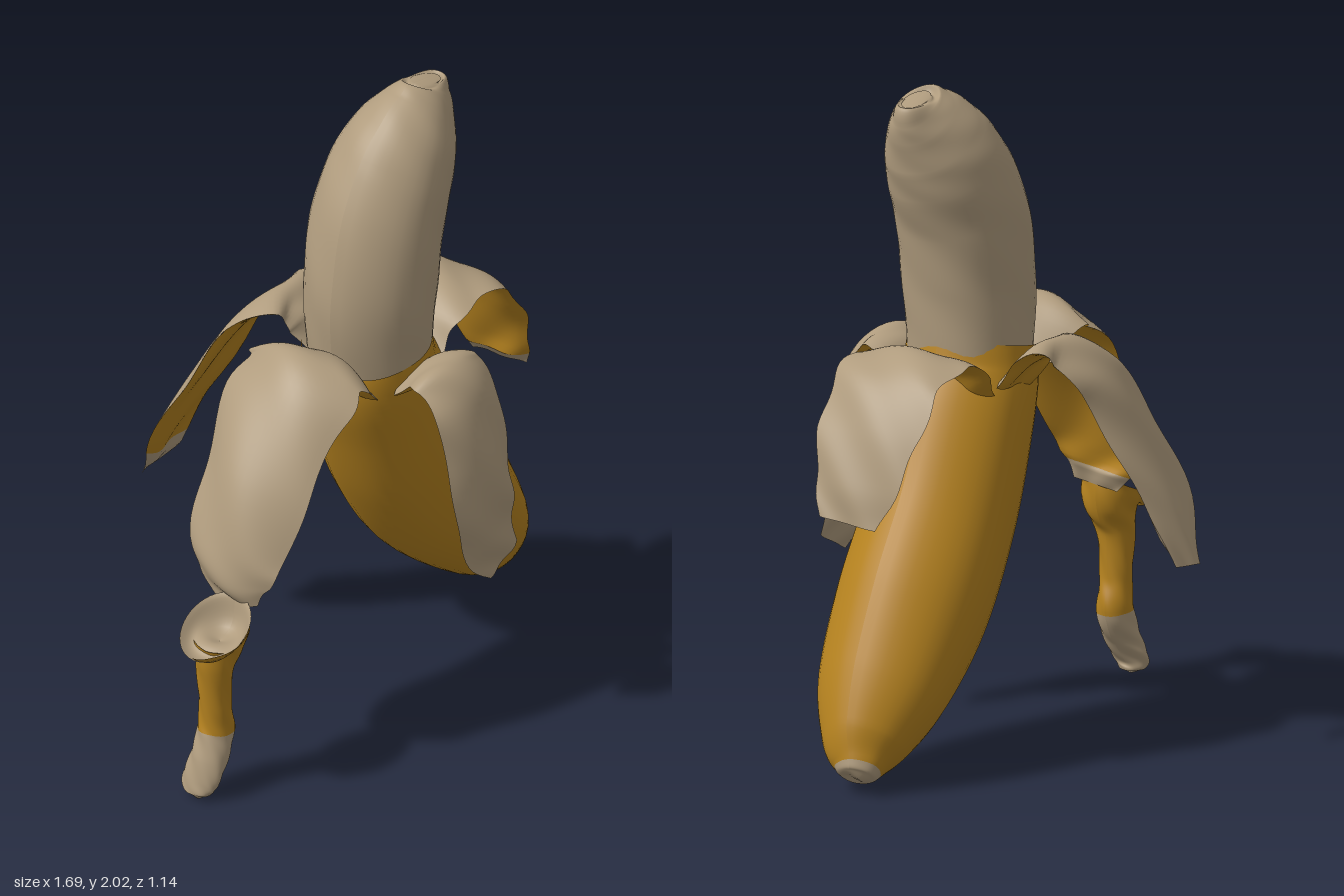
import * as THREE from 'three';

const pale = new THREE.MeshStandardMaterial({ color: 0xb09c7e });
pale.name = 'pale flesh';
const yellow = new THREE.MeshStandardMaterial({ color: 0xb5821f });
yellow.name = 'yellow skin';

const Z = new THREE.Vector3(0, 0, 1);
const spline = (pts) => new THREE.CatmullRomCurve3(pts, false, 'catmullrom', 0.5);

// Surface from a grid of points; flip turns the faces round
function gridMesh(name, rows, cols, point, material, flip = false) {
  const pos = [], idx = [];
  for (let i = 0; i <= rows; i++) {
    for (let j = 0; j <= cols; j++) {
      const p = point(i / rows, j / cols);
      pos.push(p.x, p.y, p.z);
    }
  }
  for (let i = 0; i < rows; i++) {
    for (let j = 0; j < cols; j++) {
      const a = i * (cols + 1) + j, b = a + 1, c = a + cols + 1, d = c + 1;
      if (flip) idx.push(a, c, b, b, c, d);
      else idx.push(a, b, c, b, d, c);
    }
  }
  const g = new THREE.BufferGeometry();
  g.setAttribute('position', new THREE.Float32BufferAttribute(pos, 3));
  g.setIndex(idx);
  g.computeVertexNormals();
  const mesh = new THREE.Mesh(g, material);
  mesh.name = name;
  return mesh;
}

// Tube through stations [x, y, z, radius across, radius in z]
function tube(name, stations, material, { from = 0, to = 1, ridge = 0, bump = 0, flip = false, rows = 48 } = {}) {
  const path = spline(stations.map((s) => new THREE.Vector3(s[0], s[1], s[2])));
  const radii = spline(stations.map((s) => new THREE.Vector3(s[3], s[4], 0)));
  return gridMesh(name, rows, 40, (v, u) => {
    const t = from + (to - from) * v, a = u * Math.PI * 2;
    const T = path.getTangent(t), r = radii.getPoint(t);
    const A = new THREE.Vector3().crossVectors(Z, T).normalize();
    const B = new THREE.Vector3().crossVectors(T, A);
    const k = 1 + ridge * Math.cos(5 * a) + bump * Math.sin(3 * a + t * 17) * Math.sin(t * 31 + 2 * a);
    return path.getPoint(t)
      .addScaledVector(A, Math.max(0, r.x) * k * Math.cos(a))
      .addScaledVector(B, Math.max(0, r.y) * k * Math.sin(a));
  }, material, flip);
}

// Peeled strip through stations [x, y, z, half width]: pale face above, skin below
function flap(name, stations, side, droop, skinEnd) {
  const path = spline(stations.map((s) => new THREE.Vector3(s[0], s[1], s[2])));
  const widths = spline(stations.map((s) => new THREE.Vector3(s[3], 0, 0)));
  const S0 = new THREE.Vector3(...side);
  const point = (t, u, under) => {
    const T = path.getTangent(t);
    const S = S0.clone().addScaledVector(T, -T.dot(S0)).normalize();
    const N = new THREE.Vector3().crossVectors(S, T);
    const e = u * 2 - 1;
    const w = widths.getPoint(t).x * (1 + 0.04 * Math.sin(t * 27 + e * 2));
    const thick = 0.036 * (1 - e ** 4) * Math.min(1, (1 - t) * 14);
    const lift = -droop * e * e * Math.sin(Math.PI * Math.min(1, t * 0.75 + 0.2))
      + 0.005 * Math.sin(t * 23 + e * 4);
    return path.getPoint(t).addScaledVector(S, w * e).addScaledVector(N, lift - (under ? thick : 0));
  };
  const group = new THREE.Group();
  group.name = name;
  group.add(
    gridMesh(name + 'Inside', 44, 16, (t, u) => point(t, u, false), pale),
    gridMesh(name + 'Skin', 36, 16, (t, u) => point(t * skinEnd, u, true), yellow, true),
    gridMesh(name + 'Tip', 8, 16, (t, u) => point(skinEnd + t * (1 - skinEnd), u, true), pale, true),
  );
  return group;
}

export function createModel() {
  const model = new THREE.Group();
  model.name = 'peeledBanana';

  // Exposed fruit, bent toward +x at the top
  model.add(tube('fruit', [
    [0.06, 1.05, 0.11, 0.17, 0.18],
    [0.045, 1.2, 0.115, 0.185, 0.19],
    [0.04, 1.4, 0.125, 0.2, 0.2],
    [0.075, 1.6, 0.128, 0.198, 0.2],
    [0.14, 1.75, 0.135, 0.188, 0.185],
    [0.2, 1.85, 0.145, 0.162, 0.155],
    [0.255, 1.925, 0.15, 0.122, 0.105],
    [0.283, 1.968, 0.15, 0.095, 0.065],
    [0.288, 1.985, 0.15, 0.06, 0.04],
    [0.286, 1.978, 0.15, 0, 0],
  ], pale, { ridge: 0.012, bump: 0.012, rows: 72 }));

  // Unpeeled lower half and its blunt tip
  const body = [
    [0.035, 1.2, 0.115, 0.19, 0.195],
    [0.055, 1.1, 0.11, 0.205, 0.205],
    [0.12, 0.97, 0.1, 0.22, 0.215],
    [0.25, 0.72, 0.085, 0.235, 0.223],
    [0.43, 0.47, 0.07, 0.235, 0.226],
    [0.61, 0.255, 0.058, 0.185, 0.195],
    [0.73, 0.125, 0.04, 0.125, 0.13],
    [0.79, 0.065, 0.02, 0.07, 0.075],
    [0.808, 0.045, 0.015, 0.045, 0.05],
    [0.812, 0.04, 0.015, 0, 0],
  ];
  model.add(tube('peelBody', body, yellow, { to: 0.79, ridge: 0.014, rows: 64 }));
  model.add(tube('peelTip', body, pale, { from: 0.79, ridge: 0.014, rows: 16 }));

  // Four peeled strips
  model.add(flap('frontFlap', [
    [0.05, 1.13, 0.27, 0.12],
    [0.055, 1.19, 0.34, 0.13],
    [0.05, 1.2, 0.42, 0.14],
    [0.045, 1.12, 0.5, 0.145],
    [0.035, 0.97, 0.55, 0.145],
    [0.03, 0.8, 0.575, 0.14],
    [0.06, 0.65, 0.565, 0.12],
    [0.125, 0.53, 0.555, 0.075],
  ], [-1, 0, 0], 0.04, 0.9));

  model.add(flap('backFlap', [
    [0.1, 1.12, -0.06, 0.11],
    [0.085, 1.21, -0.12, 0.12],
    [0.045, 1.25, -0.2, 0.12],
    [-0.025, 1.16, -0.31, 0.12],
    [-0.09, 0.97, -0.4, 0.13],
    [-0.125, 0.76, -0.495, 0.115],
    [-0.1, 0.575, -0.565, 0.065],
  ], [1, 0, 0], 0.035, 0.88));

  model.add(flap('leftFlap', [
    [0.19, 1.1, 0.09, 0.17],
    [0.26, 1.2, 0.09, 0.185],
    [0.39, 1.25, 0.095, 0.19],
    [0.53, 1.2, 0.1, 0.185],
    [0.63, 1.06, 0.1, 0.175],
    [0.69, 0.9, 0.105, 0.145],
    [0.71, 0.785, 0.115, 0.1],
  ], [0, 0, 1], 0.03, 0.93));

  model.add(flap('rightFlap', [
    [-0.09, 1.14, 0.1, 0.18],
    [-0.17, 1.25, 0.1, 0.2],
    [-0.27, 1.285, 0.1, 0.205],
    [-0.4, 1.2, 0.095, 0.21],
    [-0.55, 0.99, 0.09, 0.19],
    [-0.635, 0.78, 0.09, 0.17],
    [-0.65, 0.67, 0.1, 0.13],
    [-0.625, 0.6, 0.11, 0.08],
  ], [0, 0, -1], 0.08, 0.9));

  // Stem hanging from the long strip, with a flared pale cup on top
  const stem = [
    [-0.73, 0.57, 0.115, 0.125, 0.105],
    [-0.71, 0.525, 0.115, 0.085, 0.08],
    [-0.722, 0.44, 0.11, 0.056, 0.06],
    [-0.717, 0.3, 0.105, 0.046, 0.05],
    [-0.71, 0.2, 0.1, 0.058, 0.055],
    [-0.745, 0.11, 0.1, 0.045, 0.06],
    [-0.775, 0.04, 0.09, 0.03, 0.06],
    [-0.78, 0.008, 0.09, 0.03, 0.04],
    [-0.78, 0.004, 0.09, 0, 0],
  ];
  model.add(tube('stem', stem, yellow, { to: 0.5, bump: 0.06 }));
  model.add(tube('stemEnd', stem, pale, { from: 0.5, bump: 0.06 }));
  model.add(tube('stemCup', [
    [-0.73, 0.57, 0.115, 0.125, 0.105],
    [-0.71, 0.535, 0.115, 0.075, 0.07],
    [-0.708, 0.51, 0.115, 0, 0],
  ], pale, { flip: true, rows: 12 }));

  return model;
}
